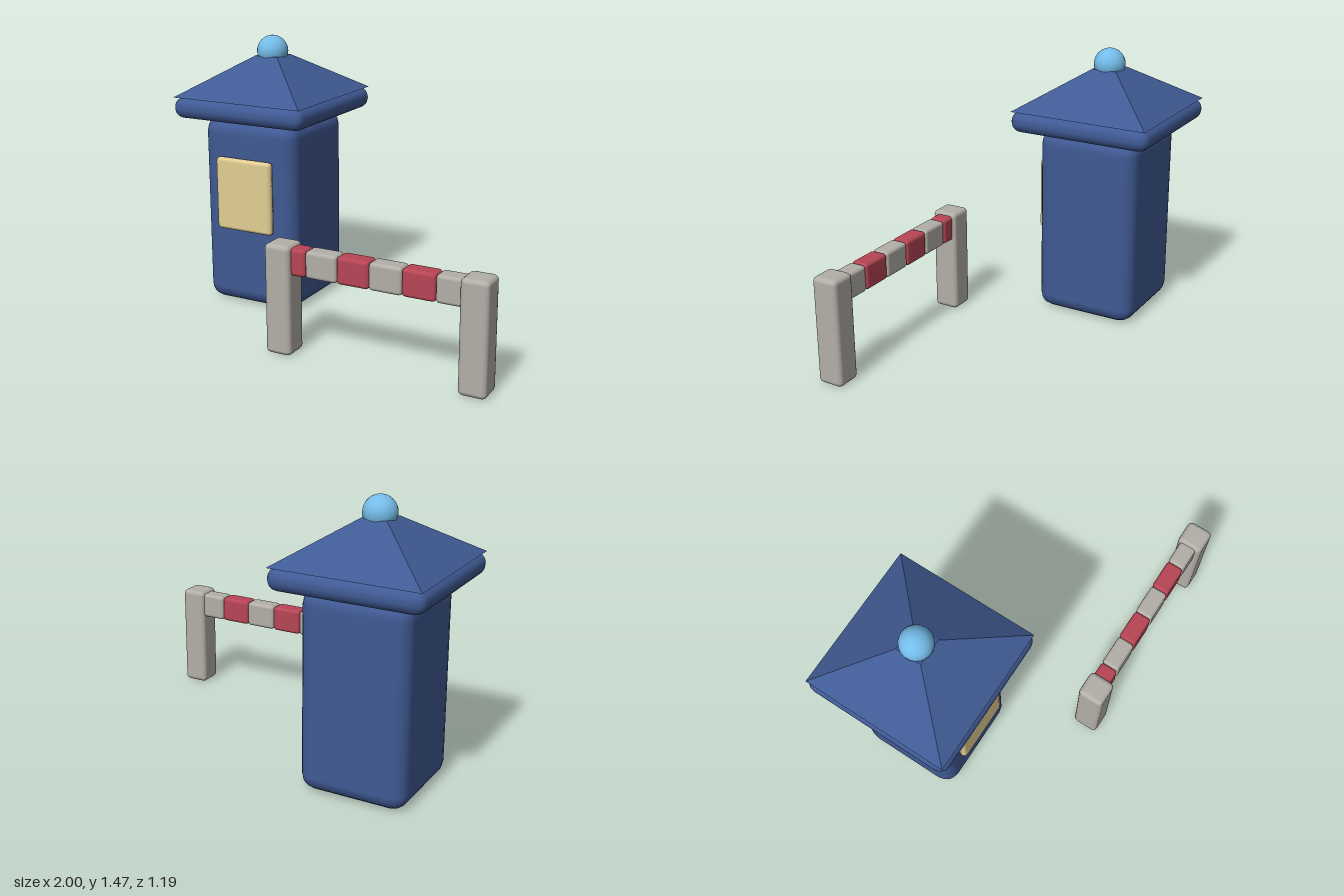
import * as THREE from 'three';
import { RoundedBoxGeometry } from 'three/addons/geometries/RoundedBoxGeometry.js';

const material = (color, flatShading = false) => new THREE.MeshStandardMaterial({ color, flatShading });

export function createModel() {
  const model = new THREE.Group();
  const blue = material(0x405a94);
  const blueFlat = material(0x405a94, true);
  const cream = material(0xe2cf94);
  const grey = material(0xb3afa8);
  const red = material(0xb84555);
  const lampBlue = material(0x74bce8);

  const add = (parent, name, geometry, mat, x, y, z) => {
    const mesh = new THREE.Mesh(geometry, mat);
    mesh.name = name;
    mesh.position.set(x, y, z);
    parent.add(mesh);
    return mesh;
  };
  const block = (w, h, d, r, segments = 2) => new RoundedBoxGeometry(w, h, d, segments, r);

  // Guard booth, centred on its own vertical axis
  const booth = new THREE.Group();
  booth.name = 'booth';
  booth.position.set(-0.6, 0, -0.195);
  model.add(booth);
  add(booth, 'boothBody', block(0.57, 1.04, 0.57, 0.08), blue, 0, 0.52, 0);
  add(booth, 'window', block(0.345, 0.405, 0.046, 0.022, 1), cream, 0, 0.637, 0.309);
  add(booth, 'eaves', block(0.8, 0.116, 0.8, 0.055), blue, 0, 1.098, 0);

  // Four-sided roof with a flat top, and the lamp on it
  const roof = new THREE.CylinderGeometry(0.07 * Math.SQRT2, 0.39 * Math.SQRT2, 0.205, 4);
  roof.rotateY(Math.PI / 4);
  add(booth, 'roof', roof, blueFlat, 0, 1.2575, 0);
  add(booth, 'lamp', new THREE.SphereGeometry(0.085, 24, 16), lampBlue, 0, 1.384, 0);

  // Barrier: two posts and a striped bar
  const barrier = new THREE.Group();
  barrier.name = 'barrier';
  barrier.position.z = 0.525;
  model.add(barrier);
  for (const [name, x] of [['rightPost', -0.11], ['leftPost', 0.925]]) {
    add(barrier, name, block(0.142, 0.575, 0.142, 0.025), grey, x, 0.2875, 0);
  }
  const stripe = 0.1725;
  for (let i = 0; i < 6; i++) {
    const x = -0.137 + stripe * (i + 0.5);
    add(barrier, `barStripe${i + 1}`, block(stripe, 0.14, 0.096, 0.018), i % 2 ? grey : red, x, 0.49, -0.005);
  }
  return model;
}
